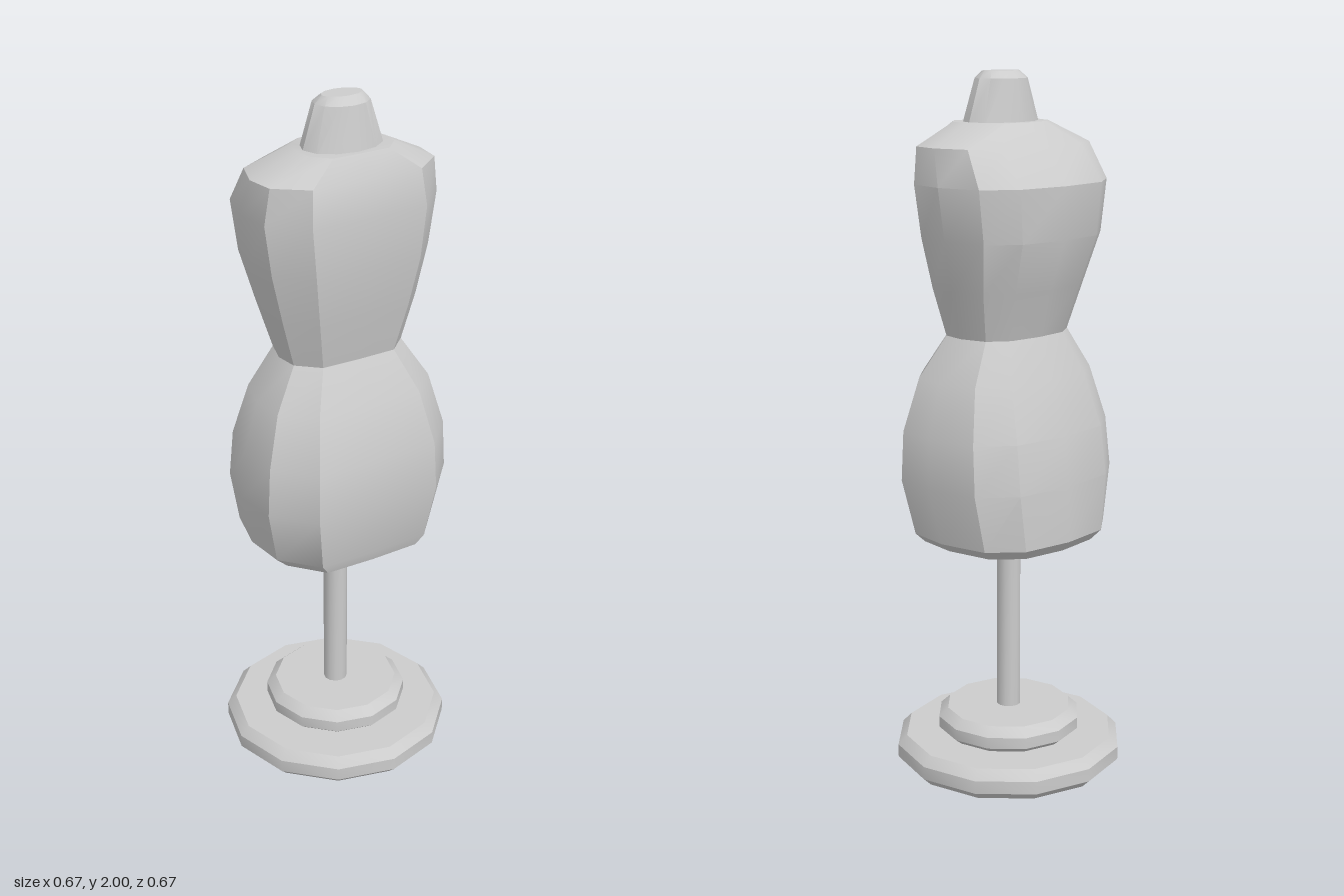
import * as THREE from 'three';
import { toCreasedNormals } from 'three/addons/utils/BufferGeometryUtils.js';

const material = new THREE.MeshStandardMaterial({ color: 0xcccccc });
const CREASE = 0.56;

// Half outlines from front centre to back centre, as [x, z] in -1..1
const TORSO = [[0, 1], [0.63, 0.98], [0.96, 0.54], [1, 0], [0.87, -0.6], [0.55, -0.92], [0, -1]];
const OVAL = Array.from({ length: 7 }, (_, i) => [Math.sin(i * Math.PI / 6), Math.cos(i * Math.PI / 6)]);

function mesh(name, geometry) {
  const m = new THREE.Mesh(toCreasedNormals(geometry, CREASE), material);
  m.name = name;
  return m;
}

// Skin over stacked mirrored sections: [y, halfWidth, zFront, zBack], bottom to top
function loft(half, rings) {
  const outline = [...half, ...half.slice(1, -1).reverse().map(([x, z]) => [-x, z])];
  const n = outline.length, pos = [], idx = [];
  for (const [y, w, zf, zb] of rings) {
    const mid = (zf + zb) / 2, depth = (zf - zb) / 2;
    for (const [u, v] of outline) pos.push(u * w, y, mid + v * depth);
  }
  for (let i = 0; i < rings.length - 1; i++) {
    for (let j = 0; j < n; j++) {
      const k = (j + 1) % n, a = i * n, b = a + n;
      idx.push(a + j, a + k, b + k, a + j, b + k, b + j);
    }
  }
  // flat caps
  const top = (rings.length - 1) * n;
  for (let j = 1; j < n - 1; j++) idx.push(0, j + 1, j, top, top + j, top + j + 1);
  const g = new THREE.BufferGeometry();
  g.setAttribute('position', new THREE.Float32BufferAttribute(pos, 3));
  g.setIndex(idx);
  return g;
}

// Twelve-sided disc with bevelled rims
function disc(r, inner, y0, y1, bevelLow, bevelHigh) {
  const pts = [[0, y0], [inner, y0], [r, y0 + bevelLow], [r, y1 - bevelHigh], [inner, y1], [0, y1]];
  return new THREE.LatheGeometry(pts.map(p => new THREE.Vector2(...p)), 12);
}

export function createModel() {
  const model = new THREE.Group();
  model.name = 'dressForm';

  // Stand
  model.add(mesh('baseDisc', disc(0.333, 0.307, 0, 0.09, 0.025, 0.027)));
  model.add(mesh('upperBaseDisc', disc(0.21, 0.183, 0.085, 0.165, 0.022, 0.025)));
  const pole = mesh('pole', new THREE.CylinderGeometry(0.035, 0.035, 0.58, 12));
  pole.position.y = 0.43;
  model.add(pole);

  // Hips, waist, chest and sloping shoulders
  model.add(mesh('torso', loft(TORSO, [
    [0.69, 0.235, 0.205, -0.22],
    [0.72, 0.27, 0.215, -0.245],
    [0.88, 0.305, 0.237, -0.243],
    [1.02, 0.297, 0.23, -0.225],
    [1.17, 0.255, 0.185, -0.175],
    [1.285, 0.18, 0.125, -0.125],
    [1.42, 0.22, 0.153, -0.168],
    [1.56, 0.255, 0.175, -0.218],
    [1.705, 0.277, 0.18, -0.223],
    [1.805, 0.262, 0.165, -0.148],
    [1.865, 0.135, 0.13, -0.075],
  ])));

  // Neck with bevelled top
  model.add(mesh('neck', loft(OVAL, [
    [1.85, 0.122, 0.118, -0.056],
    [1.98, 0.08, 0.093, -0.035],
    [2.0, 0.06, 0.068, -0.006],
  ])));

  return model;
}
